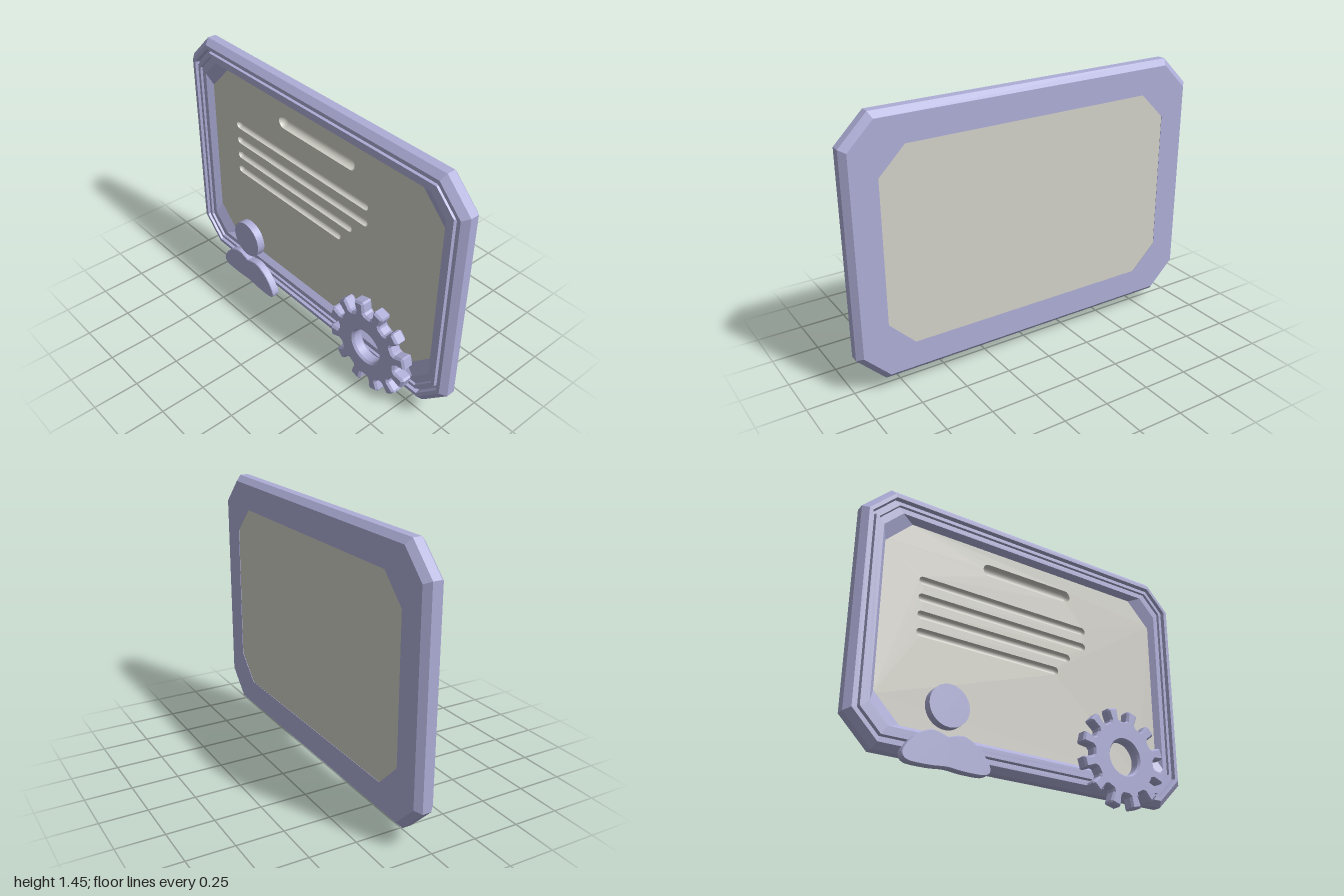
import * as THREE from 'three';

const lavender = new THREE.MeshStandardMaterial({ color: 0xaeaed8 });
lavender.name = 'lavender';
const paper = new THREE.MeshStandardMaterial({ color: 0xd2d1c9 });
paper.name = 'warm grey paper';

const CY = 0.765, HALF_W = 1, HALF_H = 0.69;

// Chamfered rectangle, counter-clockwise, inset by d with corner cut c
function octagon(d, c) {
  const w = HALF_W - d, h = HALF_H - d;
  return [
    [w, -h + c], [w, h - c], [w - c, h], [-w + c, h],
    [-w, h - c], [-w, -h + c], [-w + c, -h], [w - c, -h],
  ].map(([x, y]) => new THREE.Vector2(x, y + CY));
}

function add(group, name, geometry, material) {
  const mesh = new THREE.Mesh(geometry, material);
  mesh.name = name;
  group.add(mesh);
  return mesh;
}

// Moulded frame: octagon rings following a closed profile of [inset, z, corner cut]
function frameGeometry() {
  const profile = [
    [0.03, -0.09, 0.135], [0, -0.06, 0.15], [0, -0.013, 0.15], [0.03, 0.017, 0.135],
    [0.05, 0.017, 0.122], [0.054, -0.008, 0.12], [0.066, -0.008, 0.114], [0.07, 0.012, 0.112],
    [0.088, 0.012, 0.104], [0.092, 0, 0.102], [0.12, 0, 0.1], [0.147, -0.032, 0.145],
    [0.17, -0.09, 0.14],
  ];
  const pos = [], idx = [], n = profile.length;
  for (const [d, z, c] of profile) for (const p of octagon(d, c)) pos.push(p.x, p.y, z);
  for (let k = 0; k < n; k++) {
    const k2 = (k + 1) % n;
    for (let i = 0; i < 8; i++) {
      const j = (i + 1) % 8;
      idx.push(k * 8 + i, k * 8 + j, k2 * 8 + j, k * 8 + i, k2 * 8 + j, k2 * 8 + i);
    }
  }
  let g = new THREE.BufferGeometry();
  g.setAttribute('position', new THREE.Float32BufferAttribute(pos, 3));
  g.setIndex(idx);
  g = g.toNonIndexed();
  g.computeVertexNormals();
  return g;
}

// Back half of a capsule turned inside out: a round-bottomed groove
function grooveGeometry(length, r) {
  const g = new THREE.CapsuleGeometry(r, length - 2 * r, 8, 24);
  g.rotateZ(Math.PI / 2);
  const p = g.attributes.position, nrm = g.attributes.normal, src = g.index.array, kept = [];
  for (let i = 0; i < src.length; i += 3) {
    const [a, b, c] = [src[i], src[i + 1], src[i + 2]];
    if (p.getZ(a) + p.getZ(b) + p.getZ(c) < -1e-6) kept.push(a, c, b);
  }
  for (let i = 0; i < nrm.count; i++) nrm.setXYZ(i, -nrm.getX(i), -nrm.getY(i), -nrm.getZ(i));
  g.setIndex(kept);
  return g;
}

// Front sheet with engraved lines, and a plain back sheet
function buildPanel(group) {
  const z = -0.03;
  const front = new THREE.Shape(octagon(0.14, 0.13));
  const grooves = [ // x start, x end, y, radius
    [-0.285, 0.28, 1.195, 0.034],
    [-0.655, 0.382, 1.008, 0.022], [-0.655, 0.382, 0.912, 0.022],
    [-0.655, 0.275, 0.816, 0.022], [-0.655, 0.195, 0.721, 0.022],
  ];
  grooves.forEach(([x0, x1, y, r], i) => {
    const hole = new THREE.Path();
    hole.absarc(x1 - r, y, r, -Math.PI / 2, Math.PI / 2, false);
    hole.absarc(x0 + r, y, r, Math.PI / 2, Math.PI * 1.5, false);
    front.holes.push(hole);
    const m = add(group, i ? 'textLineGroove' : 'titleGroove', grooveGeometry(x1 - x0, r), paper);
    m.position.set((x0 + x1) / 2, y, z);
  });
  add(group, 'panelFront', new THREE.ShapeGeometry(front, 16), paper).position.z = z;
  const back = new THREE.ShapeGeometry(new THREE.Shape(octagon(0.14, 0.12)));
  back.rotateY(Math.PI);
  add(group, 'panelBack', back, paper).position.z = -0.087;
}

// Person badge: round head and curved shoulders
function buildBadge(group) {
  const badge = new THREE.Group();
  badge.name = 'personBadge';
  badge.position.set(-0.502, 0, 0.014);
  const head = new THREE.CylinderGeometry(0.108, 0.108, 0.046, 48);
  head.rotateX(Math.PI / 2);
  add(badge, 'head', head, lavender).position.set(0, 0.337, 0.023);

  const half = [[0.055, 0.2], [0.1, 0.199], [0.165, 0.163], [0.215, 0.105],
    [0.232, 0.06], [0.2, 0.03], [0.09, 0.027]];
  const v = ([x, y]) => new THREE.Vector2(x, y);
  const pts = [[0, 0.183], ...half, [0, 0.034], ...half.map(([x, y]) => [-x, y]).reverse()].map(v);
  const shape = new THREE.Shape();
  shape.moveTo(pts[0].x, pts[0].y);
  shape.splineThru([...pts.slice(1), pts[0]]);
  const body = new THREE.ExtrudeGeometry(new THREE.Shape(shape.getSpacedPoints(90).slice(0, -1)), {
    depth: 0.038, bevelSize: 0.004, bevelOffset: -0.004, bevelThickness: 0.004, bevelSegments: 1,
  });
  add(badge, 'shoulders', body, lavender).position.z = 0.004;
  group.add(badge);
}

// Twelve-toothed gear with a chamfered bore
function gearGeometry() {
  const pts = [], teeth = 12, step = (Math.PI * 2) / teeth;
  const polar = (r, a) => pts.push(new THREE.Vector2(r * Math.cos(a), r * Math.sin(a)));
  for (let i = 0; i < teeth; i++) {
    const a = (i + 0.5) * step;
    polar(0.212, a - 0.13);
    polar(0.262, a - 0.125);
    polar(0.273, a - 0.1);
    polar(0.273, a + 0.1);
    polar(0.262, a + 0.125);
    polar(0.212, a + 0.13);
    polar(0.201, a + 0.18);
    polar(0.201, a + step - 0.18);
  }
  const shape = new THREE.Shape(pts);
  shape.holes.push(new THREE.Path().absarc(0, 0, 0.094, 0, Math.PI * 2, true));
  return new THREE.ExtrudeGeometry(shape, {
    depth: 0.046, bevelThickness: 0.012, bevelSize: 0.01, bevelOffset: -0.01,
    bevelSegments: 1, curveSegments: 40,
  });
}

export function createModel() {
  const model = new THREE.Group();
  model.name = 'certificate';
  add(model, 'frame', frameGeometry(), lavender);
  buildPanel(model);
  buildBadge(model);
  add(model, 'gear', gearGeometry(), lavender).position.set(0.53, 0.272, 0.035);
  return model;
}
